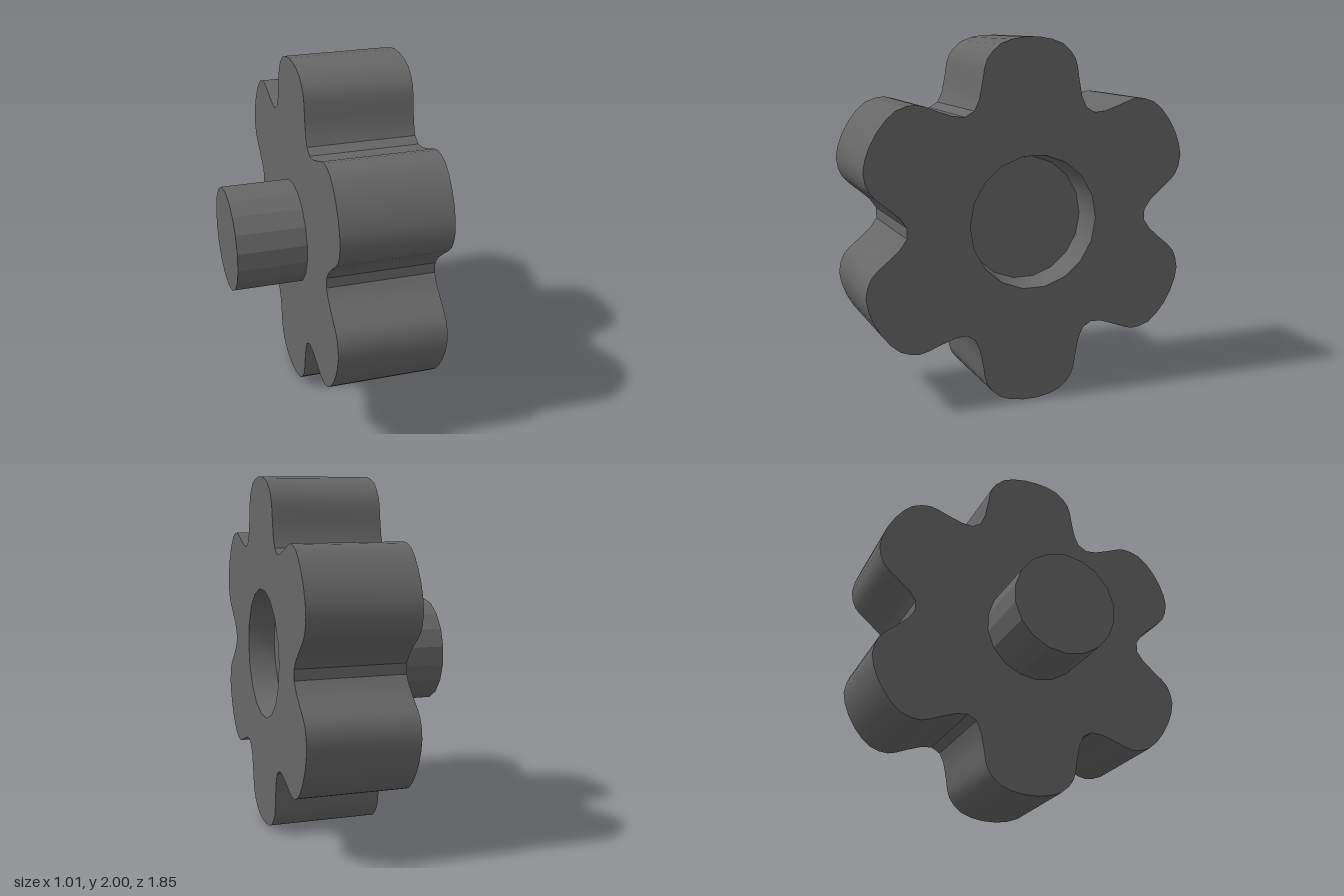
import * as THREE from 'three';
import { toCreasedNormals } from 'three/addons/utils/BufferGeometryUtils.js';

const BACK = -0.11, FRONT = 0.503, FLOOR = 0.35, STEM_END = -0.507;
const SOFT = Math.PI / 6, FACETED = 0.1; // crease angles

const material = new THREE.MeshStandardMaterial({ color: 0x676767 });

// Outlines lie in a plane whose axes are (-z, y); extrusion runs along +x.
function lobedOutline() {
  // half of one lobe, from its tip to the valley: (sideways, outward)
  const half = [[0.04, 1], [0.115, 0.988], [0.178, 0.965], [0.225, 0.925], [0.254, 0.885],
    [0.268, 0.84], [0.28, 0.765], [0.297, 0.68], [0.324, 0.621]];
  const lobe = [...half.map(([u, v]) => [-u, v]).reverse(), ...half];
  const points = [];
  for (let i = 0; i < 6; i++) {
    const turn = -i * Math.PI / 3;
    for (const [u, v] of lobe) {
      points.push(new THREE.Vector2(u, v).rotateAround(new THREE.Vector2(), turn).add(new THREE.Vector2(0, 1)));
    }
  }
  return points.reverse(); // counter-clockwise
}

function polygon(cx, cy, radius, start, sides = 18) {
  return Array.from({ length: sides }, (_, i) => {
    const a = start + i * 2 * Math.PI / sides;
    return new THREE.Vector2(cx + radius * Math.cos(a), cy + radius * Math.sin(a));
  });
}

// Wall between two matching outlines at x0 and x1, facing outward for x0 < x1
function wall(ringA, x0, ringB, x1, crease) {
  const n = ringA.length, positions = [], index = [];
  ringA.forEach(p => positions.push(x0, p.y, -p.x));
  ringB.forEach(p => positions.push(x1, p.y, -p.x));
  for (let i = 0; i < n; i++) {
    const j = (i + 1) % n;
    index.push(i, j, n + j, i, n + j, n + i);
  }
  const geometry = new THREE.BufferGeometry();
  geometry.setAttribute('position', new THREE.Float32BufferAttribute(positions, 3));
  geometry.setIndex(index);
  return toCreasedNormals(geometry, crease);
}

// Flat face at x, looking along +x or -x
function cap(ring, x, facing, hole) {
  const flip = p => new THREE.Vector2(p.x * facing, p.y);
  const shape = new THREE.Shape(ring.map(flip));
  if (hole) shape.holes.push(new THREE.Path(hole.map(flip)));
  return new THREE.ShapeGeometry(shape).rotateY(facing * Math.PI / 2).translate(x, 0, 0);
}

export function createModel() {
  const model = new THREE.Group();
  model.name = 'lobedKnob';
  const add = (parent, name, geometry) => {
    const mesh = new THREE.Mesh(geometry, material);
    mesh.name = name;
    parent.add(mesh);
  };
  const group = name => {
    const g = new THREE.Group();
    g.name = name;
    model.add(g);
    return g;
  };

  // Six-lobed grip
  const outline = lobedOutline();
  const rim = polygon(0.02, 1.005, 0.37, 0);
  const floor = polygon(0.02, 1.005, 0.345, 0);
  const grip = group('grip');
  add(grip, 'gripSide', wall(outline, BACK, outline, FRONT, SOFT));
  add(grip, 'gripFront', cap(outline, FRONT, 1, rim));
  add(grip, 'gripBack', cap(outline, BACK, -1));

  // Shallow tapered recess
  const recess = group('recess');
  add(recess, 'recessWall', wall(rim, FRONT, floor, FLOOR, SOFT));
  add(recess, 'recessFloor', cap(floor, FLOOR, 1));

  // Stem, slightly off centre
  const stemRing = polygon(-0.032, 0.98, 0.302, Math.PI / 2);
  const stem = group('stem');
  add(stem, 'stemSide', wall(stemRing, STEM_END, stemRing, BACK, FACETED));
  add(stem, 'stemEnd', cap(stemRing, STEM_END, -1));

  return model;
}
